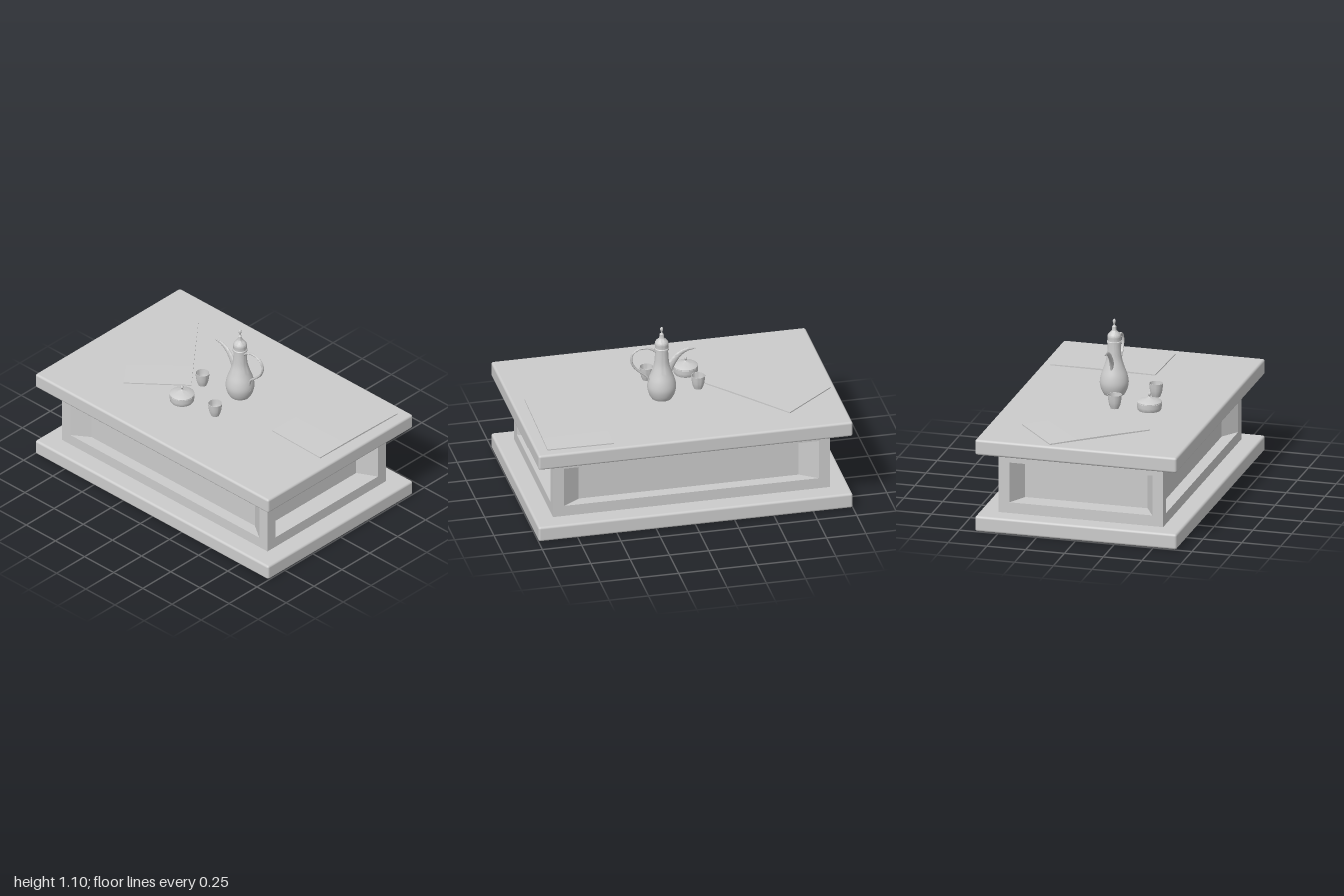
import * as THREE from 'three';
import { toCreasedNormals } from 'three/addons/utils/BufferGeometryUtils.js';
import { RoundedBoxGeometry } from 'three/addons/geometries/RoundedBoxGeometry.js';

const material = new THREE.MeshStandardMaterial({ color: 0xcccccc, side: THREE.DoubleSide });

function add(parent, name, geometry, x = 0, y = 0, z = 0) {
  const mesh = new THREE.Mesh(geometry, material);
  mesh.name = name;
  mesh.position.set(x, y, z);
  parent.add(mesh);
  return mesh;
}

function group(parent, name, x, y, z) {
  const g = new THREE.Group();
  g.name = name;
  g.position.set(x, y, z);
  parent.add(g);
  return g;
}

// Turned part from [radius, height] pairs
function lathe(points, segments = 40) {
  const profile = points.map(([r, y]) => new THREE.Vector2(r, y));
  return toCreasedNormals(new THREE.LatheGeometry(profile, segments), 0.7);
}

// Smooth list of [radius, height] pairs through a few control points
function smooth(points, count = 32) {
  const curve = new THREE.SplineCurve(points.map(([r, y]) => new THREE.Vector2(r, y)));
  return curve.getPoints(count).map(p => [Math.max(p.x, 0), p.y]);
}

// Round tube along a path in the xy plane, its radius given by a function of t
function taperedTube(points, radius, segments, flatten) {
  const path = new THREE.CatmullRomCurve3(points.map(([x, y]) => new THREE.Vector3(x, y, 0)));
  const geometry = new THREE.TubeGeometry(path, segments, 1, 16);
  const { position, uv } = geometry.attributes;
  const v = new THREE.Vector3();
  for (let i = 0; i < position.count; i++) {
    const t = uv.getX(i);
    const centre = path.getPointAt(t);
    v.fromBufferAttribute(position, i).sub(centre).multiplyScalar(radius(t)).add(centre);
    position.setXYZ(i, v.x, v.y, v.z * flatten);
  }
  return toCreasedNormals(geometry, 1);
}

// Table body: plan with a splayed recess on each side, between two plain bands
function addBody(table) {
  const corner = [[0.755, 0.395], [0.88, 0.46], [0.88, 0.53], [0.81, 0.53], [0.70, 0.455]];
  const half = [...corner, ...[...corner].reverse().map(([x, y]) => [-x, y])];
  const plan = [...half, ...half.map(([x, y]) => [-x, -y])];
  const shape = new THREE.Shape(plan.map(([x, y]) => new THREE.Vector2(x, y)));
  const panels = new THREE.ExtrudeGeometry(shape, { depth: 0.26, bevelEnabled: false });
  panels.rotateX(-Math.PI / 2);
  add(table, 'recessedPanels', panels, 0, 0.17, 0);
  add(table, 'lowerBand', new THREE.BoxGeometry(1.76, 0.07, 1.06), 0, 0.135, 0);
  add(table, 'upperBand', new THREE.BoxGeometry(1.76, 0.07, 1.06), 0, 0.465, 0);
}

// Thin mat, raised slightly along its middle
function addMat(parent, name, x, z, turn) {
  const geometry = new THREE.BoxGeometry(0.42, 0.007, 0.68, 1, 1, 16);
  const position = geometry.attributes.position;
  for (let i = 0; i < position.count; i++) {
    const lift = 0.003 * Math.cos(position.getZ(i) / 0.34 * Math.PI / 2);
    if (position.getY(i) > 0) position.setY(i, position.getY(i) + lift);
  }
  add(parent, name, toCreasedNormals(geometry, 0.5), x, 0.6035, z).rotation.y = turn;
}

function addPot(parent) {
  const pot = group(parent, 'coffeePot', 0.08, 0.6, -0.06);
  add(pot, 'potBody', lathe([[0, 0.005], ...smooth([
    [0.064, 0.005], [0.08, 0.035], [0.09, 0.08], [0.083, 0.13],
    [0.064, 0.185], [0.048, 0.24], [0.042, 0.30], [0.04, 0.345],
  ])]));
  add(pot, 'potLid', lathe([
    [0.04, 0.338], [0.046, 0.34], [0.046, 0.35], [0.042, 0.354], [0.042, 0.372],
    ...smooth([[0.043, 0.375], [0.041, 0.39], [0.03, 0.405], [0.018, 0.416], [0.014, 0.43], [0.013, 0.446]], 16),
    [0.006, 0.452], [0.004, 0.458],
    ...smooth([[0.005, 0.46], [0.009, 0.475], [0.0085, 0.487], [0, 0.495]], 10),
  ]));
  // Crescent spout, widest halfway along
  const spout = [[-0.01, 0.12], [-0.04, 0.185], [-0.068, 0.24], [-0.11, 0.29], [-0.16, 0.318], [-0.215, 0.322]];
  add(pot, 'spout', taperedTube(spout, t => 0.002 + 0.031 * Math.pow(1 - t, 0.7), 32, 0.5));
  const handle = [
    [0.03, 0.315], [0.055, 0.34], [0.10, 0.357], [0.15, 0.352], [0.185, 0.325], [0.194, 0.285],
    [0.175, 0.235], [0.13, 0.19], [0.092, 0.155], [0.08, 0.12], [0.084, 0.075],
  ];
  add(pot, 'handle', taperedTube(handle, () => 0.007, 60, 1.35));
}

function addCup(parent, name, x, z) {
  add(parent, name, lathe([
    [0, 0], [0.026, 0], [0.028, 0.006], [0.034, 0.02], [0.039, 0.042], [0.042, 0.065], [0.044, 0.088],
    [0.041, 0.088], [0.038, 0.06], [0.033, 0.035], [0.022, 0.018], [0, 0.014],
  ], 32), x, 0.6, z);
}

// Low round bowl with a shallow lid and bead knob
function addSugarBowl(parent) {
  const bowl = group(parent, 'sugarBowl', -0.14, 0.6, 0.23);
  add(bowl, 'bowlBody', lathe([
    [0, 0], [0.07, 0], [0.075, 0.008], [0.077, 0.025], [0.077, 0.048], [0.074, 0.05], [0, 0.05],
  ]));
  add(bowl, 'bowlLid', lathe([
    [0, 0.05], [0.077, 0.05], [0.077, 0.055], [0.068, 0.061], [0.045, 0.069], [0.02, 0.076],
    [0.01, 0.08], [0.005, 0.088],
    ...smooth([[0.006, 0.09], [0.01, 0.1], [0.007, 0.11], [0, 0.115]], 10),
  ]));
}

export function createModel() {
  const model = new THREE.Group();
  model.name = 'coffeeTableSet';

  // Table
  const table = group(model, 'table', 0, 0, 0);
  add(table, 'baseSlab', new RoundedBoxGeometry(2, 0.1, 1.3, 3, 0.015), 0, 0.05, 0);
  add(table, 'topSlab', new RoundedBoxGeometry(2, 0.1, 1.3, 3, 0.015), 0, 0.55, 0);
  addBody(table);

  // Items on the table
  addMat(model, 'leftMat', 0.712, -0.25, -0.02);
  addMat(model, 'rightMat', -0.588, -0.05, 0.7);
  addPot(model);
  addCup(model, 'frontCup', 0.115, 0.2);
  addCup(model, 'backCup', -0.17, 0.015);
  addSugarBowl(model);
  return model;
}
